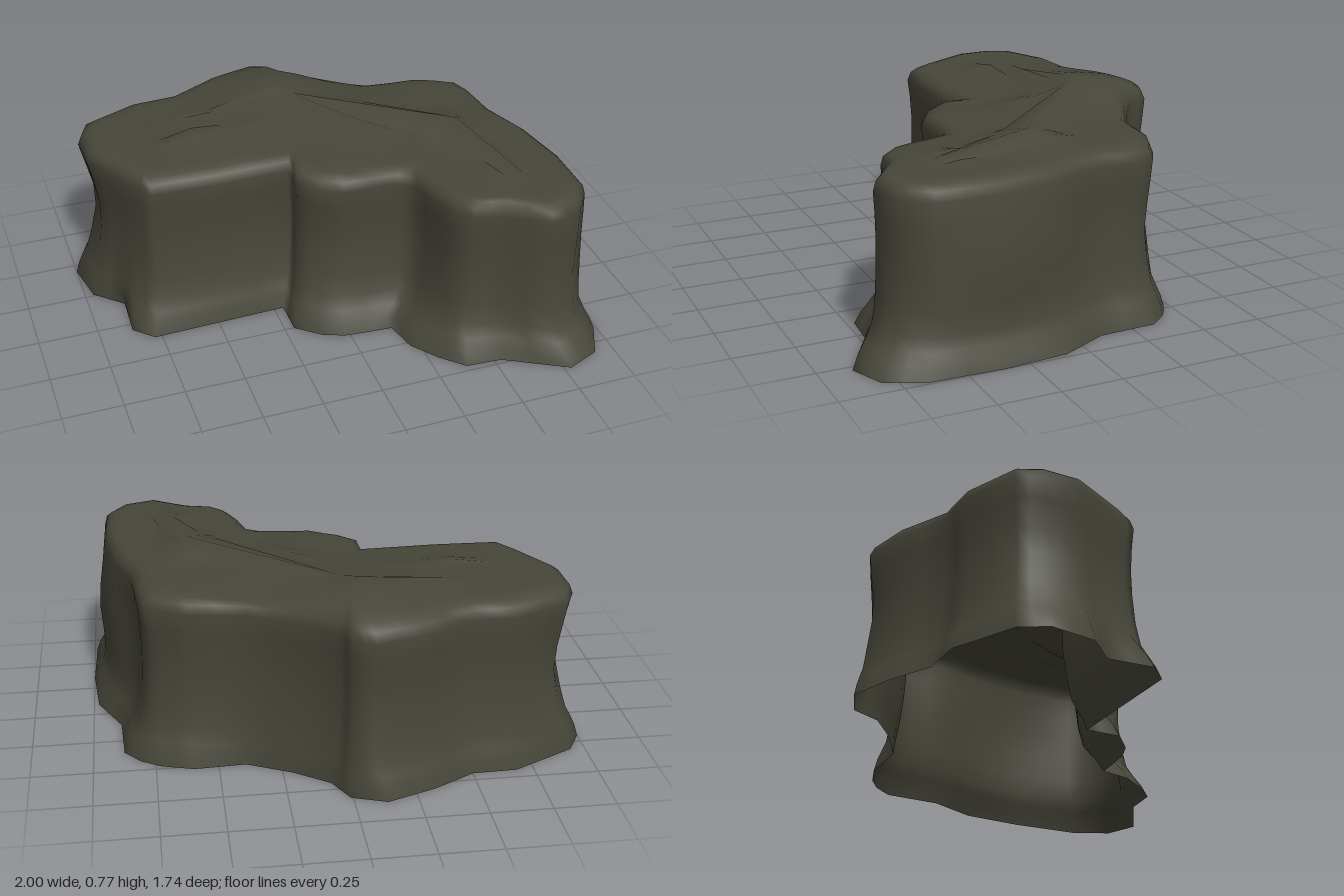
import * as THREE from 'three';

// Outline points, clockwise from above: base x, base z, rim x, rim z
const CORNERS = [
  [-.13, -.87, -.08, -.82], [.01, -.82, 0, -.79], [.07, -.7, .04, -.7], [.21, -.6, .19, -.59],
  [.39, -.51, .38, -.49], [.6, -.52, .61, -.46], [.73, -.48, .7, -.42], [.81, -.43, .77, -.38],
  [.875, -.35, .795, -.3], [.885, -.11, .81, -.11], [.98, .09, .88, .1], [1, .35, .92, .35],
  [.99, .66, .915, .59], [.92, .81, .84, .7], [.78, .87, .7, .745], [.53, .73, .54, .64],
  [.38, .72, .42, .61], [.29, .63, .36, .55], [.21, .52, .32, .45], [.18, .385, .29, .32],
  [.1, .38, .22, .28], [-.02, .37, -.01, .27], [-.11, .335, -.09, .23], [-.21, .25, -.16, .16],
  [-.21, .1, -.16, .04], [-.5, .11, -.45, .05], [-.78, .12, -.74, .04], [-.86, .04, -.8, -.05],
  [-.85, -.15, -.86, -.16], [-.965, -.26, -.93, -.29], [-1, -.45, -.935, -.45], [-.94, -.56, -.89, -.55],
  [-.68, -.695, -.66, -.65], [-.5, -.7, -.47, -.66], [-.33, -.795, -.27, -.77],
];
// Finer outline with a midpoint on every side
const OUTLINE = CORNERS.flatMap((corner, i) => {
  const next = CORNERS[(i + 1) % CORNERS.length];
  return [corner, corner.map((v, k) => (v + next[k]) / 2)];
});

// Ridge line that the top surface closes in on
const SPINE = [[-.62, -.32], [-.1, -.38], [.35, -.15], [.6, .2], [.66, .45]]
  .map(([x, z]) => new THREE.Vector3(x, 0, z));

// Wall rings: height, blend from base to rim, strength of the waist
const WALL = [[0, 0, 0], [.05, .23, 0], [.09, .5, 0], [.14, .78, .2], [.23, .91, .6], [.35, .98, 1], [.46, 1, .9], [.57, 1, .4], [.65, 1, 0]];
// Top rings: height, inset towards the spine
const TOP = [[.687, .04], [.706, .12], [.713, .22], [.715, .34], [.715, .46], [.715, .58], [.715, .7], [.715, .82]];

// Soft spots, x, z, amount, radius: bumps and hollows on the top, and the waist of the wall
const BUMPS = [
  [.55, .07, .064, .11], [-.07, -.5, .055, .22], [-.51, -.27, .032, .1], [.17, -.18, .046, .16],
  [.62, .4, .024, .09], [.38, -.48, -.025, .13], [-.04, -.02, -.012, .1], [-.3, -.35, .012, .15],
];
const WAIST = [[-.95, -.4, .1, .25], [.95, .3, -.16, .35]];
const sumSpots = (spots, x, z) => spots.reduce(
  (sum, [sx, sz, amount, r]) => sum + amount * Math.exp(-((x - sx) ** 2 + (z - sz) ** 2) / (r * r)), 0);

function nearestOnSpine(p) {
  let best = null;
  for (let i = 0; i < SPINE.length - 1; i++) {
    const q = new THREE.Line3(SPINE[i], SPINE[i + 1]).closestPointToPoint(p, true, new THREE.Vector3());
    if (!best || q.distanceTo(p) < best.distanceTo(p)) best = q;
  }
  return best;
}

function wallPoint([bx, bz, rx, rz], [y, blend, waist], i, ring) {
  const p = new THREE.Vector3(bx + (rx - bx) * blend, 0, bz + (rz - bz) * blend);
  const dent = .012 * Math.sin(i * 1.05 + ring * 1.3);
  p.lerp(nearestOnSpine(p), waist * (.05 + sumSpots(WAIST, p.x, p.z) + dent));
  p.y = y;
  return p;
}

function topPoint([, , x, z], [y, inset]) {
  const p = new THREE.Vector3(x, 0, z);
  p.lerp(nearestOnSpine(p), inset);
  p.y = y + sumSpots(BUMPS, p.x, p.z) * Math.min(1, inset * 5);
  return p;
}

function rockGeometry() {
  const n = OUTLINE.length;
  const rings = [
    ...WALL.map((ring, r) => OUTLINE.map((o, i) => wallPoint(o, ring, i, r))),
    ...TOP.map((ring) => OUTLINE.map((o) => topPoint(o, ring))),
  ];
  const index = [];

  // Join neighbouring rings
  for (let r = 0; r < rings.length - 1; r++) {
    for (let i = 0; i < n; i++) {
      const a = r * n + i, b = r * n + (i + 1) % n;
      index.push(a, b + n, b, a, a + n, b + n);
    }
  }

  // Close the middle of the top; the underside stays open
  const start = (rings.length - 1) * n;
  const cap = rings[rings.length - 1].map((p) => new THREE.Vector2(p.x, p.z));
  for (const [a, b, c] of THREE.ShapeUtils.triangulateShape(cap, [])) {
    const up = THREE.ShapeUtils.area([cap[a], cap[b], cap[c]]) < 0;
    index.push(start + a, start + (up ? b : c), start + (up ? c : b));
  }

  const geometry = new THREE.BufferGeometry().setFromPoints(rings.flat());
  geometry.setIndex(index);
  geometry.computeVertexNormals();
  return geometry;
}

export function createModel() {
  const stone = new THREE.MeshStandardMaterial({ color: 0x47463a, side: THREE.DoubleSide });
  stone.name = 'darkStone';
  const rock = new THREE.Mesh(rockGeometry(), stone);
  rock.name = 'rock';
  const group = new THREE.Group();
  group.name = 'rockFormation';
  group.add(rock);
  return group;
}
